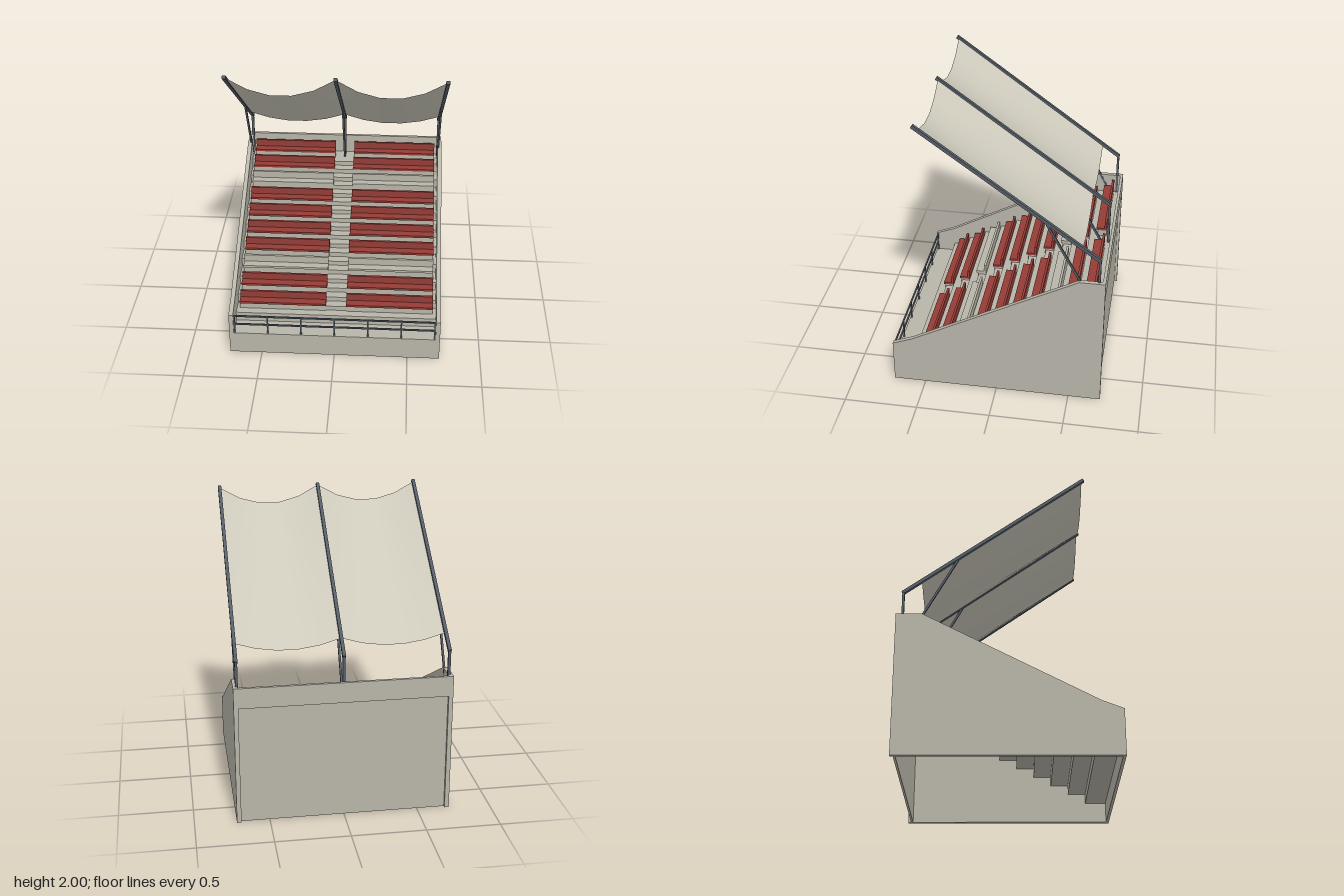
import * as THREE from 'three';

const ROWS = 10, RISE = 0.066, RUN = 0.124, FIRST_Y = 0.226, FIRST_Z = 0.575, FLOOR = 0.16;

export function createModel() {
  const model = new THREE.Group();
  model.name = 'grandstand';
  const mat = (name, color, extra = {}) => {
    const m = new THREE.MeshStandardMaterial({ color, ...extra });
    m.name = name;
    return m;
  };
  const concrete = mat('concrete', 0xb8b5a9);
  const red = mat('seatRed', 0x943c36);
  const steel = mat('steel', 0x555d67);
  const fabric = mat('canopyFabric', 0xcdcabc, { side: THREE.DoubleSide });

  const add = (name, geo, material, parent = model) => {
    const mesh = new THREE.Mesh(geo, material);
    mesh.name = name;
    parent.add(mesh);
    return mesh;
  };
  const group = (name) => {
    const g = new THREE.Group();
    g.name = name;
    model.add(g);
    return g;
  };
  // box given by its limits on each axis
  const box = (name, x0, x1, y0, y1, z0, z1, material, parent) => {
    const m = add(name, new THREE.BoxGeometry(x1 - x0, y1 - y0, z1 - z0), material, parent);
    m.position.set((x0 + x1) / 2, (y0 + y1) / 2, (z0 + z1) / 2);
    return m;
  };
  // side profile of [z, y] points, extruded across x from x0 to x1
  const profile = (name, points, x0, x1, material, parent) => {
    const shape = new THREE.Shape(points.map(([z, y]) => new THREE.Vector2(z, y)));
    const geo = new THREE.ExtrudeGeometry(shape, { depth: x1 - x0, bevelEnabled: false });
    geo.rotateY(-Math.PI / 2);
    geo.translate(x1, 0, 0);
    return add(name, geo, material, parent);
  };
  // square bar between two points in the z-y plane
  const bar = (name, x, [z0, y0], [z1, y1], width, depth, parent) => {
    const m = add(name, new THREE.BoxGeometry(width, Math.hypot(z1 - z0, y1 - y0), depth), steel, parent);
    m.position.set(x, (y0 + y1) / 2, (z0 + z1) / 2);
    m.rotation.x = Math.atan2(z1 - z0, y1 - y0);
    return m;
  };

  // side walls, front wall and back wall around a hollow base
  const wall = [[0.72, 0], [0.72, 0.305], [0.58, 0.36], [-0.55, 0.96], [-0.72, 0.96], [-0.72, 0]];
  profile('leftWall', wall, 0.69, 0.72, concrete);
  profile('rightWall', wall, -0.72, -0.69, concrete);
  box('frontWall', -0.69, 0.69, 0, FLOOR, 0.7, 0.72, concrete);
  box('backParapet', -0.69, 0.69, 0.82, 0.96, -0.72, -0.7, concrete);
  box('backPanel', -0.69, 0.69, 0, 0.81, -0.7, -0.685, concrete);

  // stepped terrace slab, open underneath
  const t = 0.02;
  const upper = [[0.7, FLOOR]], lower = [[0.7, FLOOR - t]];
  for (let i = 0; i < ROWS; i++) {
    const z = FIRST_Z - RUN * i, y = FIRST_Y + RISE * i;
    upper.push([z, y - RISE], [z, y]);
    lower.push([z - t, y - RISE - t], [z - t, y - t]);
  }
  upper.push([-0.7, 0.82]);
  lower.push([-0.7, 0.8]);
  profile('terrace', [...upper, ...lower.reverse()], -0.69, 0.69, concrete);

  // benches on both sides of the aisle, with half steps in between
  const benches = group('benches'), aisle = group('aisleSteps');
  for (let i = 0; i < ROWS; i++) {
    const z = FIRST_Z - RUN * i, y = FIRST_Y + RISE * i;
    const material = i === 2 || i === 7 ? concrete : red;
    const bench = [[z - 0.045, y + 0.044], [z - 0.045, y + 0.06], [z - 0.102, y + 0.06],
      [z - 0.102, y + 0.112], [z - 0.118, y + 0.112], [z - 0.118, y + 0.044]];
    for (const x0 of [-0.67, 0.07]) {
      profile('bench', bench, x0, x0 + 0.6, material, benches);
      box('benchPlinth', x0, x0 + 0.6, y, y + 0.044, z - 0.118, z - 0.055, concrete, benches);
    }
    if (i < ROWS - 1) box('halfStep', -0.07, 0.07, y, y + RISE / 2, z - RUN, z - RUN / 2, concrete, aisle);
  }

  // front railing
  const railing = group('frontRailing');
  for (const y of [0.23, 0.297]) box('rail', -0.69, 0.69, y - 0.005, y + 0.005, 0.705, 0.715, steel, railing);
  for (let i = 0; i <= 6; i++) {
    const x = -0.684 + i * 0.228;
    box('railPost', x - 0.005, x + 0.005, FLOOR, 0.3, 0.705, 0.715, steel, railing);
  }

  // canopy frames: rear post, sloping beam and brace
  for (const x of [-0.695, 0, 0.695]) {
    const frame = group('canopyFrame');
    bar('post', x, [-0.677, 0.82], [-0.677, 1.135], 0.018, 0.016, frame);
    bar('beam', x, [-0.683, 1.123], [0.512, 1.99], 0.023, 0.022, frame);
    bar('brace', x, [-0.627, 0.82], [-0.33, 1.365], 0.014, 0.014, frame);
  }

  // two sagging fabric bays, sag shrinking toward the back
  for (const side of [-1, 1]) {
    const geo = new THREE.PlaneGeometry(1, 1, 5, 6);
    const p = geo.attributes.position;
    for (let i = 0; i < p.count; i++) {
      const u = p.getX(i) + 0.5, v = 0.5 - p.getY(i);
      const sag = 4 * u * (1 - u) * (0.065 + 0.055 * v);
      p.setXYZ(i, side * 0.3475 + (u - 0.5) * 0.695, 1.207 + 0.776 * v - sag, -0.56 + 1.06 * v);
    }
    geo.computeVertexNormals();
    add(side > 0 ? 'leftCanopy' : 'rightCanopy', geo, fabric);
  }
  return model;
}
